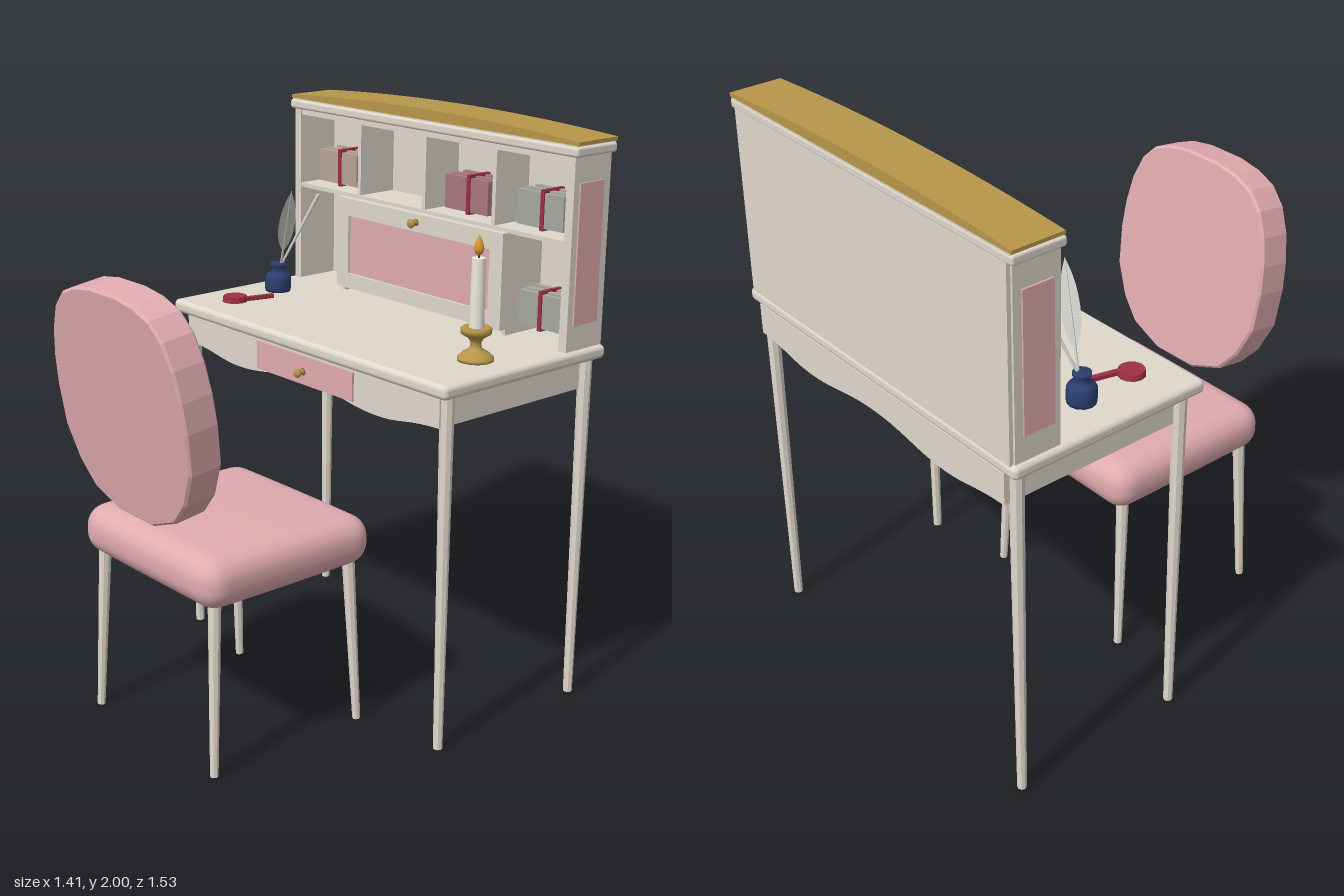
import * as THREE from 'three';
import { mergeVertices } from 'three/addons/utils/BufferGeometryUtils.js';
import { RoundedBoxGeometry } from 'three/addons/geometries/RoundedBoxGeometry.js';

const mat = (color, extra = {}) => {
  const m = new THREE.MeshStandardMaterial({ color });
  return Object.assign(m, extra);
};
const V = (x, y, z) => new THREE.Vector3(x, y, z);

export function createModel() {
  const root = new THREE.Group();
  const cream = mat(0xdfd8cc), creamFlat = mat(0xdfd8cc, { flatShading: true });
  const pink = mat(0xe0abaf), pinkFlat = mat(0xe0abaf, { flatShading: true });
  const gold = mat(0xb8964a), navy = mat(0x2c3e70), red = mat(0xa03044);
  const wax = mat(0xeeeae0), flameMat = mat(0xd89a30);
  const quillMat = mat(0xd6d6d0, { side: THREE.DoubleSide });

  const add = (parent, name, geo, m, x = 0, y = 0, z = 0) => {
    const mesh = new THREE.Mesh(geo, m);
    mesh.name = name;
    mesh.position.set(x, y, z);
    parent.add(mesh);
    return mesh;
  };
  const group = (name, parent = root) => {
    const g = new THREE.Group();
    g.name = name;
    parent.add(g);
    return g;
  };
  // Box given by its extents on each axis
  const box = (parent, name, m, [x0, x1], [y0, y1], [z0, z1]) =>
    add(parent, name, new THREE.BoxGeometry(x1 - x0, y1 - y0, z1 - z0), m,
      (x0 + x1) / 2, (y0 + y1) / 2, (z0 + z1) / 2);
  // Tapered rod between two points
  const rod = (parent, name, m, a, b, ra, rb, sides = 8) => {
    const mesh = add(parent, name, new THREE.CylinderGeometry(rb, ra, a.distanceTo(b), sides), m);
    mesh.position.copy(a).lerp(b, 0.5);
    mesh.quaternion.setFromUnitVectors(V(0, 1, 0), b.clone().sub(a).normalize());
    return mesh;
  };
  const lathe = (parent, name, m, pts, x, y, z, sides = 20) =>
    add(parent, name, new THREE.LatheGeometry(pts.map(p => new THREE.Vector2(...p)), sides), m, x, y, z);
  const knob = (parent, name, y, z) => {
    const k = lathe(parent, name, gold, [[0, 0], [0.013, 0], [0.007, 0.006], [0.007, 0.014],
      [0.015, 0.02], [0.017, 0.027], [0.011, 0.034], [0, 0.036]], 0, y, z, 14);
    k.rotation.x = Math.PI / 2;
  };

  // Desk: top, legs and wavy apron
  const desk = group('desk');
  add(desk, 'deskTop', new RoundedBoxGeometry(1.41, 0.048, 0.75, 3, 0.018), cream, 0, 1.26, -0.385);
  for (const x of [-0.655, 0.655]) for (const z of [-0.07, -0.715])
    rod(desk, 'deskLeg', creamFlat, V(x * 1.005, 0, z), V(x, 1.24, z), 0.016, 0.024);

  const apron = new THREE.Shape();
  apron.moveTo(-0.65, 1.24);
  apron.lineTo(-0.65, 1.13);
  apron.bezierCurveTo(-0.5, 1.125, -0.47, 1.1, -0.36, 1.1);
  apron.bezierCurveTo(-0.22, 1.1, -0.16, 1.135, 0, 1.135);
  apron.bezierCurveTo(0.16, 1.135, 0.22, 1.1, 0.36, 1.1);
  apron.bezierCurveTo(0.47, 1.1, 0.5, 1.125, 0.65, 1.13);
  apron.lineTo(0.65, 1.24);
  add(desk, 'apron', new THREE.ExtrudeGeometry(apron, { depth: 0.715, bevelEnabled: false, curveSegments: 10 }),
    cream, 0, 0, -0.757);
  box(desk, 'drawerFront', pink, [-0.25, 0.25], [1.12, 1.22], [-0.06, -0.035]);
  knob(desk, 'drawerKnob', 1.165, -0.035);

  // Hutch: walls, shelf and dividers
  const hutch = group('hutch');
  box(hutch, 'backPanel', cream, [-0.68, 0.68], [1.28, 1.93], [-0.759, -0.743]);
  for (const s of [-1, 1]) {
    const span = (a, b) => s > 0 ? [a, b] : [-b, -a];
    box(hutch, 'sideWall', cream, span(0.655, 0.688), [1.28, 1.93], [-0.745, -0.577]);
    box(hutch, 'sidePanel', pink, span(0.68, 0.694), [1.37, 1.84], [-0.715, -0.602]);
    box(hutch, 'lowerDivider', cream, span(0.4, 0.415), [1.28, 1.64], [-0.745, -0.577]);
  }
  box(hutch, 'topRail', cream, [-0.67, 0.67], [1.905, 1.93], [-0.745, -0.58]);
  box(hutch, 'shelf', cream, [-0.66, 0.66], [1.635, 1.65], [-0.745, -0.58]);
  for (const x of [-0.335, 0, 0.335])
    box(hutch, 'upperDivider', cream, [x - 0.008, x + 0.008], [1.645, 1.91], [-0.745, -0.583]);

  // Cornice with arched cap
  add(hutch, 'cornice', new RoundedBoxGeometry(1.41, 0.034, 0.194, 2, 0.01), cream, 0, 1.942, -0.662);
  box(hutch, 'corniceTop', cream, [-0.695, 0.695], [1.955, 1.966], [-0.757, -0.572]);
  const cap = new THREE.Shape();
  cap.moveTo(-0.703, 1.963);
  cap.lineTo(0.703, 1.963);
  cap.lineTo(0.703, 1.975);
  cap.quadraticCurveTo(0, 2.025, -0.703, 1.975);
  add(hutch, 'archedCap', new THREE.ExtrudeGeometry(cap, { depth: 0.186, bevelEnabled: false, curveSegments: 24 }),
    gold, 0, 0, -0.758);

  // Fall-front door: frame, inset panel, knob
  const rect = (C, x, y0, y1) => {
    const c = new C();
    c.moveTo(-x, y0); c.lineTo(x, y0); c.lineTo(x, y1); c.lineTo(-x, y1); c.closePath();
    return c;
  };
  const frame = rect(THREE.Shape, 0.415, 1.305, 1.638);
  frame.holes.push(rect(THREE.Path, 0.355, 1.36, 1.575));
  add(hutch, 'doorFrame', new THREE.ExtrudeGeometry(frame, { depth: 0.027, bevelEnabled: false }), cream, 0, 0, -0.577);
  box(hutch, 'doorPanel', pink, [-0.36, 0.36], [1.355, 1.58], [-0.575, -0.56]);
  knob(hutch, 'doorKnob', 1.608, -0.55);

  // Bundles of letters tied with ribbon
  for (const [x, y, color] of [[-0.512, 1.65, 0xb8a498], [0.155, 1.65, 0xa87880],
    [0.495, 1.65, 0xa8a8a2], [0.505, 1.31, 0xa8a8a2]]) {
    const bundle = group('letterBundle');
    const paper = mat(color);
    for (let i = 0; i < 4; i++)
      add(bundle, 'letter', new THREE.BoxGeometry(0.205, 0.118, 0.02), paper,
        x + [0.01, -0.008, 0.006, -0.005][i], y + 0.067 + [0.006, 0, 0.005, 0][i], -0.72 + i * 0.023);
    add(bundle, 'ribbon', new THREE.BoxGeometry(0.015, 0.138, 0.1), red, x + 0.007, y + 0.068, -0.686);
  }

  // Candle in its holder
  const candle = group('candlestick');
  candle.position.set(0.553, 1.284, -0.295);
  lathe(candle, 'holder', gold, [[0, 0], [0.06, 0], [0.06, 0.01], [0.045, 0.025], [0.02, 0.04], [0.018, 0.06],
    [0.026, 0.075], [0.05, 0.09], [0.052, 0.105], [0.045, 0.112], [0, 0.108]], 0, 0, 0);
  add(candle, 'wax', new THREE.CylinderGeometry(0.022, 0.025, 0.23, 16), wax, 0, 0.222, 0);
  rod(candle, 'wick', mat(0x333333), V(0, 0.33, 0), V(0, 0.355, 0), 0.003, 0.003, 6);
  lathe(candle, 'flame', flameMat, [[0, 0], [0.011, 0.008], [0.017, 0.024], [0.012, 0.044], [0, 0.07]], 0, 0.343, 0, 12);

  // Inkwell with pen and feather
  const ink = group('inkwell');
  lathe(ink, 'inkBottle', navy, [[0, 0], [0.046, 0], [0.049, 0.012], [0.049, 0.05], [0.042, 0.064], [0.024, 0.072],
    [0.024, 0.09], [0.03, 0.094], [0.03, 0.106], [0, 0.106]], -0.555, 1.284, -0.382, 12);
  rod(ink, 'pen', quillMat, V(-0.552, 1.37, -0.387), V(-0.42, 1.655, -0.462), 0.004, 0.007);
  const base = V(-0.55, 1.37, -0.39), tip = V(-0.4, 1.685, -0.318);
  rod(ink, 'quillShaft', quillMat, base, tip, 0.005, 0.002, 6);
  const vane = new THREE.Shape();
  vane.moveTo(0, 0.08);
  vane.bezierCurveTo(0.045, 0.14, 0.035, 0.28, 0, base.distanceTo(tip));
  vane.bezierCurveTo(-0.035, 0.28, -0.045, 0.14, 0, 0.08);
  const feather = add(ink, 'feather', new THREE.ShapeGeometry(vane, 10), quillMat);
  const dir = tip.clone().sub(base).normalize();
  const across = V(0, 1, 0).cross(dir).normalize();
  feather.matrixAutoUpdate = true;
  feather.quaternion.setFromRotationMatrix(new THREE.Matrix4().makeBasis(across, dir, across.clone().cross(dir)));
  feather.position.copy(base);

  // Hand mirror lying on the desk
  const mirror = group('handMirror');
  add(mirror, 'mirrorDisc', new THREE.CylinderGeometry(0.043, 0.046, 0.02, 12), red, -0.535, 1.294, -0.163);
  const handle = add(mirror, 'mirrorHandle', new THREE.BoxGeometry(0.018, 0.014, 0.13), red, -0.498, 1.292, -0.235);
  handle.rotation.y = -0.24;

  // Chair: cushioned seat, a box rounded and slightly crowned
  const chair = group('chair');
  const [w, h, d, r] = [0.365, 0.085, 0.347, 0.075];
  let seat = new THREE.BoxGeometry(2 * w, 2 * h, 2 * d, 36, 12, 36);
  seat.deleteAttribute('normal');
  seat.deleteAttribute('uv');
  seat = mergeVertices(seat);
  const p = seat.attributes.position, v = V(0, 0, 0), core = V(0, 0, 0);
  const inner = V(w - r, h - r, d - r);
  for (let i = 0; i < p.count; i++) {
    v.fromBufferAttribute(p, i);
    core.copy(v).clamp(inner.clone().negate(), inner);
    v.sub(core).setLength(r).add(core);
    v.y *= 1 + 0.17 * (1 - (v.x / w) ** 2) * (1 - (v.z / d) ** 2);
    p.setXYZ(i, v.x, v.y, v.z);
  }
  seat.computeVertexNormals();
  add(chair, 'seat', seat, pink, 0, 0.665, 0.302);
  for (const s of [-1, 1]) for (const [zb, zt] of [[0.613, 0.585], [-0.003, 0.025]])
    rod(chair, 'chairLeg', creamFlat, V(s * 0.326, 0, zb), V(s * 0.305, 0.61, zt), 0.014, 0.022);

  // Leaning faceted backrest
  const half = [[0.09, -0.385], [0.22, -0.335], [0.29, -0.255], [0.342, -0.14], [0.352, 0], [0.346, 0.1],
    [0.326, 0.2], [0.29, 0.285], [0.235, 0.342], [0.16, 0.372], [0.07, 0.386]];
  const outline = [...half, ...half.map(([x, y]) => [-x, y]).reverse()].map(q => new THREE.Vector2(...q));
  const backGeo = new THREE.ExtrudeGeometry(new THREE.Shape(outline), { depth: 0.109, bevelThickness: 0.008,
    bevelSize: 0.008, bevelOffset: -0.008, bevelSegments: 1 });
  backGeo.translate(0, 0, -0.0545);
  add(chair, 'backrest', backGeo, pinkFlat, 0, 1.2, 0.654).rotation.x = 0.134;

  return root;
}
